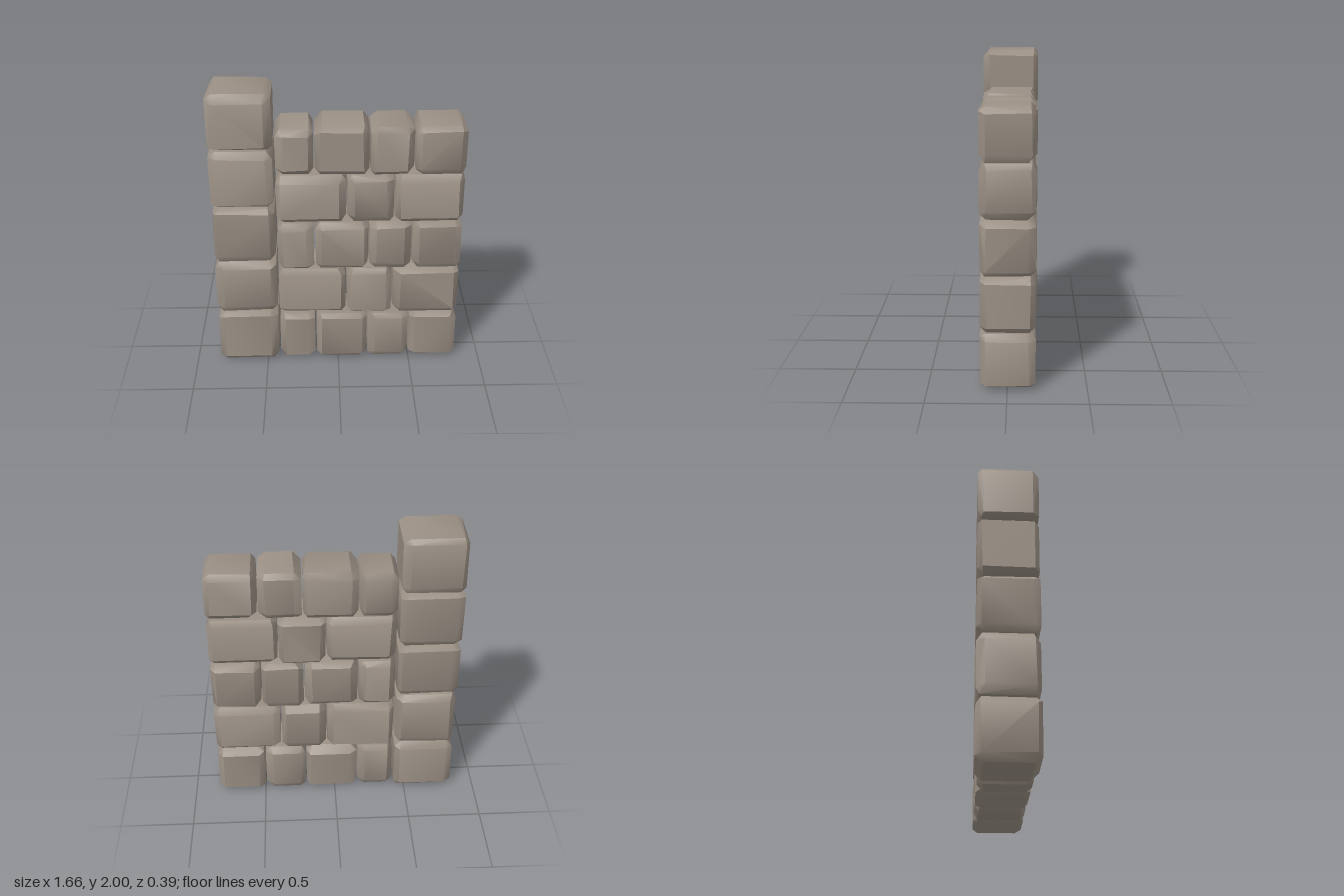
import * as THREE from 'three';
import { ConvexGeometry } from 'three/addons/geometries/ConvexGeometry.js';
import { toCreasedNormals } from 'three/addons/utils/BufferGeometryUtils.js';

// Small seeded generator for the irregular bevels
let seed = 7;
function rand() {
  seed = (seed * 16807) % 2147483647;
  return seed / 2147483647;
}

// Box with unevenly chipped edges: every corner becomes three points, one on each adjoining face
function stoneGeometry(w, h, d) {
  const half = [w / 2, h / 2, d / 2];
  const points = [];
  // One bevel width for each edge of each face, varied a little at its ends
  const bevel = {};
  const inset = (face, side) => {
    const key = face + ':' + side;
    bevel[key] ??= 0.022 + 0.026 * rand();
    return bevel[key] + 0.012 * rand();
  };
  for (const sx of [-1, 1]) for (const sy of [-1, 1]) for (const sz of [-1, 1]) {
    const s = [sx, sy, sz];
    for (let a = 0; a < 3; a++) {
      const p = half.map((v, i) =>
        s[i] * (i === a ? v - 0.004 * rand() : v - inset(a * s[a] + '/' + a + s[a], i + '/' + s[i])));
      points.push(new THREE.Vector3(...p));
    }
  }
  return toCreasedNormals(new ConvexGeometry(points), 0.72);
}

export function createModel() {
  const model = new THREE.Group();
  model.name = 'stoneWall';
  const stone = new THREE.MeshStandardMaterial({ color: 0x9a8f84 });
  stone.name = 'stone';

  function addStone(parent, name, x0, x1, y0, y1, z0, z1) {
    const mesh = new THREE.Mesh(stoneGeometry(x1 - x0, y1 - y0, z1 - z0), stone);
    mesh.position.set((x0 + x1) / 2, (y0 + y1) / 2, (z0 + z1) / 2);
    mesh.name = name;
    parent.add(mesh);
  }

  // Pillar of five large blocks
  const pillar = new THREE.Group();
  pillar.name = 'pillar';
  const pillarY = [0, 0.41, 0.815, 1.215, 1.62, 2.004];
  for (let i = 0; i < 5; i++) {
    addStone(pillar, 'pillarBlock' + (i + 1), -0.835, -0.42,
      pillarY[i] + (i ? 0.002 : 0), pillarY[i + 1] - (i < 4 ? 0.002 : 0), -0.2, 0.195);
  }
  model.add(pillar);

  // Wall courses alternate between four and three stones
  const rowY = [0.005, 0.373, 0.737, 1.09, 1.44, 1.777];
  const joints = [[-0.41, -0.158, 0.205, 0.495, 0.83], [-0.41, 0.055, 0.372, 0.83]];
  for (let r = 0; r < 5; r++) {
    const course = new THREE.Group();
    course.name = 'course' + (r + 1);
    const xs = joints[r % 2];
    for (let i = 0; i < xs.length - 1; i++) {
      const last = i === xs.length - 2;
      const top = rowY[r + 1] - (r === 4 && i === 0 ? 0.017 : 0.002);
      addStone(course, 'wallStone' + (i + 1), xs[i] + (i ? 0.003 : 0), xs[i + 1] - (last ? 0 : 0.003),
        rowY[r] + 0.002, top, -0.177, 0.172);
    }
    model.add(course);
  }
  return model;
}
